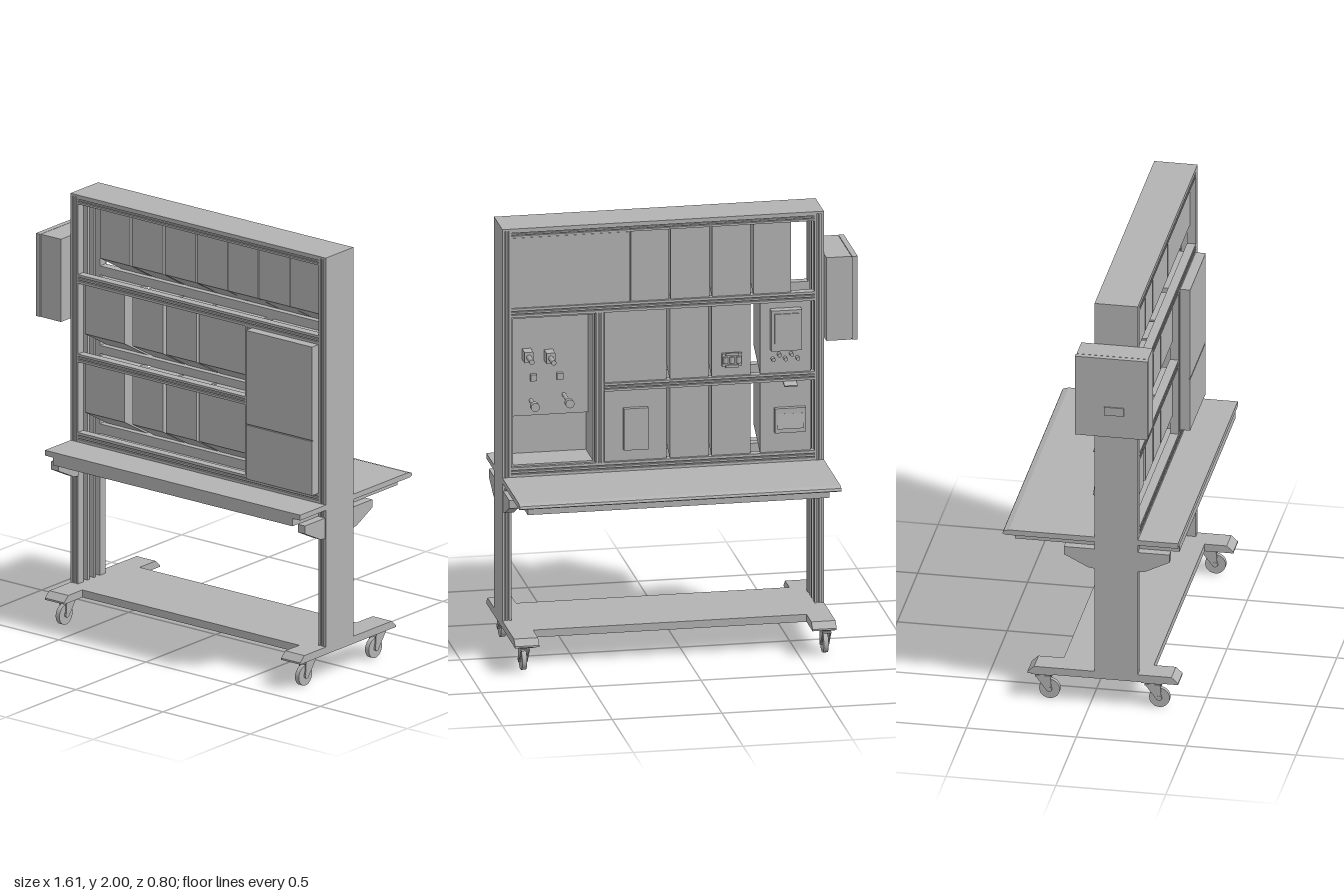
import * as THREE from 'three';

const grey = new THREE.MeshStandardMaterial({ color: 0xb2b2b2 });
grey.name = 'light grey';

const ZF = 0.217, ZB = 0.02;          // front and back planes of the frame
const XL = -0.66, XR = 0.805, W = 0.042; // outer faces and width of the posts

function add(parent, name, geometry) {
  const mesh = new THREE.Mesh(geometry, grey);
  mesh.name = name;
  parent.add(mesh);
  return mesh;
}

// Box given by its limits
function box(parent, name, x0, x1, y0, y1, z0, z1) {
  const g = new THREE.BoxGeometry(x1 - x0, y1 - y0, z1 - z0);
  g.translate((x0 + x1) / 2, (y0 + y1) / 2, (z0 + z1) / 2);
  return add(parent, name, g);
}

// Side profile of [z, y] points swept from x0 to x1
function sweepX(parent, name, pts, x0, x1) {
  const shape = new THREE.Shape(pts.map(p => new THREE.Vector2(p[0], p[1])));
  const g = new THREE.ExtrudeGeometry(shape, { depth: x1 - x0, bevelEnabled: false });
  g.rotateY(-Math.PI / 2);
  g.translate(x1, 0, 0);
  return add(parent, name, g);
}

// Round bar along an axis
function rod(parent, name, r, len, axis, x, y, z, sides = 16) {
  const g = new THREE.CylinderGeometry(r, r, len, sides);
  if (axis === 'x') g.rotateZ(Math.PI / 2);
  if (axis === 'z') g.rotateX(Math.PI / 2);
  g.translate(x, y, z);
  return add(parent, name, g);
}

// Slotted aluminium bar, with slots on the side facing sign * z
function slotted(parent, name, x0, x1, y0, y1, sign, upright) {
  const face = sign > 0 ? ZF : ZB, depth = 0.04, slot = 0.01;
  const range = (a, b) => [Math.min(a, b), Math.max(a, b)];
  box(parent, name, x0, x1, y0, y1, ...range(face - sign * slot, face - sign * depth));
  for (const [a, b] of [[0, 0.28], [0.4, 0.6], [0.72, 1]]) {
    const z = range(face, face - sign * slot);
    if (upright) box(parent, name + 'Lip', x0 + a * (x1 - x0), x0 + b * (x1 - x0), y0, y1, ...z);
    else box(parent, name + 'Lip', x0, x1, y0 + a * (y1 - y0), y0 + b * (y1 - y0), ...z);
  }
}

// Rectangular rim around an open middle
function rim(parent, name, x0, x1, y0, y1, z0, z1, t) {
  box(parent, name, x0, x1, y0, y1, z1 - t, z1);
  box(parent, name, x0, x1, y0, y1, z0, z0 + t);
  box(parent, name, x0, x0 + t, y0, y1, z0 + t, z1 - t);
  box(parent, name, x1 - t, x1, y0, y1, z0 + t, z1 - t);
}

function caster(parent, x, z) {
  const c = new THREE.Group();
  c.name = 'caster';
  rod(c, 'wheel', 0.047, 0.022, 'x', 0, 0.047, 0, 24);
  rod(c, 'axle', 0.012, 0.042, 'x', 0, 0.047, 0);
  for (const s of [-1, 1]) {
    sweepX(c, 'fork', [[0.008, 0.04], [0.01, 0.055], [0.005, 0.112], [-0.065, 0.112], [-0.01, 0.038]],
      s * 0.017 - 0.003, s * 0.017 + 0.003);
  }
  box(c, 'forkCrown', -0.02, 0.02, 0.105, 0.113, -0.065, 0.005);
  rod(c, 'swivel', 0.024, 0.014, 'y', 0, 0.118, -0.035);
  box(c, 'mountPlate', -0.033, 0.033, 0.123, 0.131, -0.08, 0.018);
  c.position.set(x, 0, z);
  parent.add(c);
}

function buildBase(root) {
  const base = new THREE.Group();
  base.name = 'base';
  for (const [x0, x1, cx] of [[XL, -0.55, -0.622], [0.695, XR, 0.752]]) {
    sweepX(base, 'foot', [[-0.285, 0.13], [0.4, 0.13], [0.4, 0.138], [0.37, 0.165], [-0.255, 0.165], [-0.285, 0.138]], x0, x1);
    for (const z of [0.31, -0.19]) caster(base, cx, z);
  }
  box(base, 'basePlate', -0.55, 0.695, 0.155, 0.165, -0.14, 0.27);
  rim(base, 'basePlateRim', -0.55, 0.695, 0.13, 0.155, -0.14, 0.27, 0.015);
  root.add(base);
}

function buildFrame(root) {
  const frame = new THREE.Group();
  frame.name = 'frame';
  for (const [x0, inner] of [[XL, 1], [XR - W, -1]]) {
    const outer = inner > 0 ? x0 : x0 + W - 0.012;
    box(frame, 'postSide', outer, outer + 0.012, 0.165, 1.992, ZB, ZF);
    for (const s of [1, -1]) slotted(frame, 'post', x0, x0 + W, 0.165, 1.992, s, true);
    // ribs on the inner side of the post
    const a = inner > 0 ? x0 + 0.01 : x0;
    for (const z of [0.09, 0.135]) box(frame, 'postRib', a, a + 0.032, 0.165, 1.992, z, z + 0.012);
  }
  box(frame, 'topCap', XL, XR, 1.99, 2, ZB, ZF);
  const rails = [[0.835, 0.88, 0.762], [1.212, 1.25, 0.34], [1.583, 1.625, 0.762], [1.957, 1.99, 0.762]];
  for (const [y0, y1, x1] of rails) {
    for (const s of [1, -1]) slotted(frame, 'rail', XL + W, x1, y0, y1, s, false);
  }
  for (const s of [1, -1]) slotted(frame, 'divider', 0.342, 0.378, 0.88, 1.583, s, true);
  root.add(frame);
}

// Row of instrument housings with sloping undersides
function moduleRow(root, y0, y1, spans) {
  for (const [x0, x1] of spans) {
    sweepX(root, 'moduleHousing', [[0.028, y0], [0.036, y0], [0.19, y0 + 0.09], [0.19, y1], [0.028, y1]], x0, x1);
  }
}

function buildDesk(root) {
  const desk = new THREE.Group();
  desk.name = 'desk';
  sweepX(desk, 'deskRear', [[-0.4, 0.817], [-0.385, 0.81], [ZB, 0.81], [ZB, 0.835], [-0.37, 0.835], [-0.395, 0.828]], XL, XR);
  box(desk, 'deskFront', XL, XR, 0.81, 0.835, ZF, 0.4);
  box(desk, 'deskMiddle', XL + W, XR - W, 0.81, 0.835, ZB, ZF);
  rim(desk, 'deskFrame', -0.615, 0.76, 0.773, 0.81, -0.35, 0.398, 0.04);
  for (const x of [XL + 0.004, XR - 0.046]) {
    for (const pts of [
      [[ZF, 0.773], [ZF, 0.675], [0.25, 0.68], [0.36, 0.735], [0.36, 0.773]],
      [[ZB, 0.773], [-0.12, 0.773], [-0.12, 0.735], [-0.01, 0.68], [ZB, 0.675]],
    ]) sweepX(desk, 'deskBracket', pts, x, x + 0.042);
  }
  root.add(desk);
}

// Cabinet closed at the front, open at the back, with controls inside
function buildCabinet(root) {
  const cab = new THREE.Group();
  cab.name = 'cabinet';
  const x0 = 0.382, x1 = 0.762, y0 = 0.882, y1 = 1.583, t = 0.008;
  box(cab, 'lowerDoor', x0, x1, y0, 1.137, 0.2, 0.262);
  box(cab, 'upperDoor', x0, x1, 1.142, y1, 0.2, 0.262);
  box(cab, 'doorSeam', x0, x1, 1.137, 1.142, 0.2, 0.256);
  box(cab, 'cabinetWall', x0, x0 + t, y0, y1, 0.03, 0.2);
  box(cab, 'cabinetWall', x1 - t, x1, y0, y1, 0.03, 0.2);
  box(cab, 'cabinetFloor', x0, x1, y0, y0 + t, 0.03, 0.2);
  box(cab, 'cabinetRoof', x0, x1, y1 - t, y1, 0.03, 0.2);
  box(cab, 'controlPanel', x0 + t, x1 - t, 1.08, y1 - t, 0.15, 0.2);
  for (const [x, y, z] of [[0.5, 1.17, 0], [0.65, 1.15, 0.04]]) {
    rod(cab, 'knobStem', 0.009, 0.14 - z, 'z', x, y, (0.16 + z) / 2 + 0.01);
    rod(cab, 'knob', 0.02, 0.03, 'z', x, y, z + 0.015);
  }
  for (const [x, y] of [[0.57, 1.36], [0.67, 1.37]]) {
    box(cab, 'switchBlock', x - 0.02, x + 0.02, y - 0.025, y + 0.025, 0.09, 0.15);
    rod(cab, 'switchButton', 0.012, 0.07, 'z', x, y, 0.055);
  }
  for (const x of [0.52, 0.64]) box(cab, 'socket', x - 0.014, x + 0.014, 1.245, 1.275, 0.13, 0.15);
  root.add(cab);
}

// Devices on the rear faces of the modules
function buildDevices(root) {
  const dev = new THREE.Group();
  dev.name = 'rearDevices';
  box(dev, 'displayUnit', -0.555, -0.415, 1.365, 1.555, -0.012, 0.03);
  box(dev, 'displayFace', -0.54, -0.43, 1.40, 1.54, -0.018, -0.012);
  for (let i = 0; i < 5; i++) rod(dev, 'terminal', 0.009, 0.03, 'z', -0.54 + i * 0.028, 1.32 + (i % 2) * 0.02, 0.017, 10);
  box(dev, 'connectorBody', -0.285, -0.195, 1.30, 1.36, 0.012, 0.03);
  for (const x of [-0.27, -0.24, -0.21]) rod(dev, 'connectorPin', 0.012, 0.03, 'y', x, 1.33, 0.012, 10);
  for (const y of [1.302, 1.358]) box(dev, 'connectorLatch', -0.27, -0.21, y - 0.006, y + 0.006, 0.004, 0.012);
  box(dev, 'coverBox', 0.142, 0.253, 0.935, 1.13, 0.006, 0.03);
  box(dev, 'socketBox', -0.575, -0.435, 0.975, 1.09, 0.005, 0.03);
  const lid = box(dev, 'socketLid', -0.06, 0.06, -0.035, 0.035, -0.004, 0.004);
  lid.position.set(-0.505, 1.03, 0.004);
  lid.rotation.x = 0.12;
  const flap = box(dev, 'smallFlap', -0.03, 0.03, -0.003, 0.003, -0.02, 0.02);
  flap.position.set(-0.505, 1.205, 0.01);
  flap.rotation.x = -0.4;
  root.add(dev);
}

// Control box on the side of the frame
function buildSideBox(root) {
  const sideBox = new THREE.Group();
  sideBox.name = 'sideBox';
  box(sideBox, 'boxBody', -0.775, XL, 1.41, 1.8, -0.04, 0.285);
  box(sideBox, 'boxDoor', -0.802, -0.777, 1.41, 1.8, -0.043, 0.288);
  box(sideBox, 'boxSeam', -0.777, -0.775, 1.415, 1.795, -0.036, 0.281);
  box(sideBox, 'boxLatch', -0.808, -0.802, 1.52, 1.56, 0.09, 0.18);
  root.add(sideBox);
}

export function createModel() {
  const root = new THREE.Group();
  root.name = 'workbench';
  buildBase(root);
  buildFrame(root);
  buildDesk(root);

  const top = [[-0.512, -0.34], [-0.328, -0.152], [-0.14, 0.037], [0.045, 0.218], [0.222, 0.395], [0.4, 0.577], [0.581, 0.762]];
  const lower = [[-0.6, -0.371], [-0.327, -0.15], [-0.135, 0.04], [0.055, 0.338]];
  moduleRow(root, 1.627, 1.955, top);
  moduleRow(root, 1.252, 1.582, lower);
  moduleRow(root, 0.882, 1.21, lower);
  // one wide plate behind the three end modules
  box(root, 'widePlate', 0.222, 0.762, 1.627, 1.955, 0.024, 0.028);

  buildCabinet(root);
  buildDevices(root);
  buildSideBox(root);
  return root;
}
